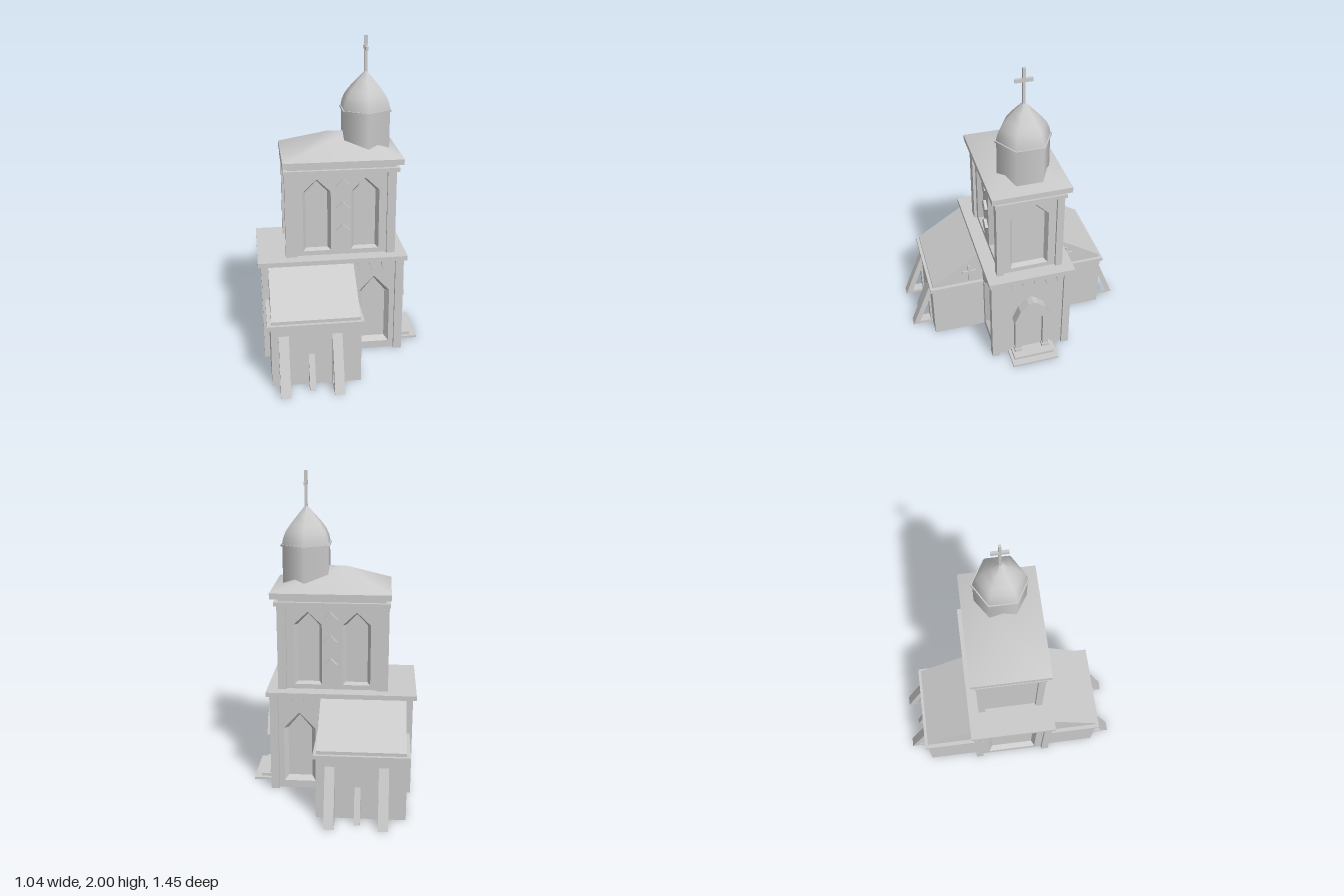
import * as THREE from 'three';

const mat = new THREE.MeshStandardMaterial({ color: 0xcccccc });

export function createModel() {
  const root = new THREE.Group();
  const add = (name, geo, parent = root) => {
    const m = new THREE.Mesh(geo, mat);
    m.name = name;
    parent.add(m);
    return m;
  };
  // Box given by its limits on each axis
  const box = (name, x0, x1, y0, y1, z0, z1, parent) =>
    add(name, new THREE.BoxGeometry(x1 - x0, y1 - y0, z1 - z0)
      .translate((x0 + x1) / 2, (y0 + y1) / 2, (z0 + z1) / 2), parent);
  const vecs = (pts) => pts.map(([x, y]) => new THREE.Vector2(x, y));
  // Profile in (z, y), swept from x0 to x1
  const sweepX = (name, pts, x0, x1, hole) => {
    const s = new THREE.Shape(vecs(pts));
    if (hole) s.holes.push(new THREE.Path(vecs(hole)));
    const g = new THREE.ExtrudeGeometry(s, { depth: x1 - x0, bevelEnabled: false });
    return add(name, g.rotateY(-Math.PI / 2).translate(x1, 0, 0));
  };

  // Pointed arch outline, counter-clockwise; t is half the width of a blunt tip
  const arch = (cx, w, y0, ys, y1, t) => [
    [cx - w, y0], [cx + w, y0], [cx + w, ys], [cx + t, y1], [cx - t, y1], [cx - w, ys],
  ];
  // Splayed lining and back of a niche
  const niche = (n, parent) => {
    const a = arch(n.u, n.w, n.y0, n.ys, n.y1, n.t);
    const b = arch(n.u, n.w - n.inset, n.y0 + (n.sill ?? n.inset), n.ys - n.inset * 0.4, n.y1 - n.inset, n.t * 0.8);
    const d = -0.035, pos = [];
    a.forEach((p, i) => {
      const j = (i + 1) % a.length;
      const A = [...p, 0], B = [...a[j], 0], C = [...b[j], d], D = [...b[i], d];
      pos.push(...A, ...B, ...C, ...A, ...C, ...D);
    });
    const g = new THREE.BufferGeometry();
    g.setAttribute('position', new THREE.Float32BufferAttribute(pos, 3));
    g.computeVertexNormals();
    add('nicheLining', g, parent);
    add('nicheBack', new THREE.ShapeGeometry(new THREE.Shape(vecs(b))).translate(0, 0, d), parent);
  };
  // Wall panel facing local +z, pierced by niches
  const wall = (name, x, z, turn, half, y0, y1, niches) => {
    const g = new THREE.Group();
    g.name = name;
    g.position.set(x, 0, z);
    g.rotation.y = turn;
    root.add(g);
    const s = new THREE.Shape(vecs([[-half, y0], [half, y0], [half, y1], [-half, y1]]));
    niches.forEach((n) => {
      s.holes.push(new THREE.Path(vecs(arch(n.u, n.w, n.y0, n.ys, n.y1, n.t))));
      niche(n, g);
    });
    add('wallPanel', new THREE.ExtrudeGeometry(s, { depth: 0.04, bevelEnabled: false }).translate(0, 0, -0.04), g);
    return g;
  };
  // Tapered brackets hung under the ledge
  const brackets = (g, centre, count) => {
    for (let i = 0; i < count; i++) {
      const u = centre + (i - (count - 1) / 2) * 0.075;
      const s = new THREE.Shape(vecs([[u - 0.015, 0.58], [u + 0.015, 0.58], [u + 0.024, 0.615], [u + 0.024, 0.64], [u - 0.024, 0.64], [u - 0.024, 0.615]]));
      add('bracket', new THREE.ExtrudeGeometry(s, { depth: 0.022, bevelEnabled: false }), g);
    }
  };
  const pillars = (name, xs, z0, z1, y0, y1) => {
    for (const [x0, x1] of xs) for (const s of [-1, 1])
      box(name, x0, x1, y0, y1, Math.min(s * z0, s * z1), Math.max(s * z0, s * z1));
  };
  const H = Math.PI / 2;

  // Lower storey
  box('lowerCore', -0.44, 0.335, 0, 0.64, -0.205, 0.205);
  pillars('lowerPillar', [[-0.5, -0.45], [0.34, 0.392]], 0.215, 0.265, 0, 0.64);
  for (const s of [1, -1]) {
    const u = s * 0.262;
    const g = wall('lowerSideWall', -0.055, s * 0.245, s > 0 ? 0 : Math.PI, 0.4, 0, 0.64,
      [{ u, w: 0.1, y0: 0.05, ys: 0.42, y1: 0.525, t: 0.002, inset: 0.025 }]);
    brackets(g, s * 0.255, 3);
  }
  const front = wall('entranceWall', 0.375, 0, H, 0.22, 0, 0.64, []);
  brackets(front, 0, 6);
  wall('rearWall', -0.48, 0, -H, 0.22, 0, 0.64,
    [{ u: 0, w: 0.165, y0: 0.05, ys: 0.48, y1: 0.58, t: 0.06, inset: 0.02 }]);
  box('lowerLedge', -0.522, 0.412, 0.64, 0.67, -0.28, 0.28);

  // Entrance: steps, jambs, pointed hood
  box('lowerStep', 0.37, 0.52, 0, 0.015, -0.155, 0.155);
  box('upperStep', 0.37, 0.475, 0.015, 0.035, -0.135, 0.135);
  for (const s of [-1, 1]) {
    box('doorJamb', 0.37, 0.415, 0.035, 0.335, s * 0.093 - 0.02, s * 0.093 + 0.02);
    box('jambFoot', 0.37, 0.425, 0.035, 0.055, s * 0.093 - 0.026, s * 0.093 + 0.026);
  }
  sweepX('doorLeaf', [[-0.075, 0.035], [0.075, 0.035], [0.075, 0.33], [0, 0.4], [-0.075, 0.33]], 0.37, 0.385);
  sweepX('doorHood', [[-0.125, 0.31], [-0.085, 0.41], [-0.03, 0.46], [0, 0.475], [0.03, 0.46], [0.085, 0.41], [0.125, 0.31],
    [0.1, 0.3], [0.075, 0.325], [0, 0.39], [-0.075, 0.325], [-0.1, 0.3]], 0.37, 0.433);

  // Side wings with lean-to roofs, buttresses and gable crosses
  for (const s of [1, -1]) {
    const flip = (pts) => pts.map(([z, y]) => [s * z, y]);
    const span = (name, x0, x1, y0, y1, a, b) => box(name, x0, x1, y0, y1, Math.min(s * a, s * b), Math.max(s * a, s * b));
    span('wingWall', -0.465, 0.075, 0, 0.39, 0.2, 0.592);
    span('wingEave', -0.485, 0.092, 0.39, 0.415, 0.2, 0.605);
    sweepX('wingRoof', flip([[0.2, 0.41], [0.585, 0.41], [0.585, 0.435], [0.27, 0.64], [0.2, 0.64]]), -0.46, 0.07);
    span('gableCrossPost', 0.06, 0.08, 0.425, 0.56, 0.33, 0.345);
    span('gableCrossBar', 0.06, 0.08, 0.5, 0.515, 0.292, 0.383);
    for (const [off, w, reach, top] of [[-0.19, 0.06, 0.727, 0.37], [-0.025, 0.036, 0.67, 0.24], [0.13, 0.06, 0.727, 0.37]]) {
      const x = -0.2 + s * off, r = reach - 0.58;
      sweepX('buttress', flip([[0.58, 0], [reach, 0], [0.58, top]]), x - w / 2, x + w / 2,
        flip([[0.605, 0.02], [0.58 + r * 0.68, 0.02], [0.605, top * 0.56]]));
    }
  }

  // Upper storey
  box('upperCore', -0.3, 0.285, 0.67, 1.21, -0.155, 0.155);
  pillars('upperPillar', [[-0.345, -0.275], [0.288, 0.342]], 0.168, 0.213, 0.67, 1.21);
  for (const s of [1, -1]) {
    const g = wall('upperSideWall', 0, s * 0.195, s > 0 ? 0 : Math.PI, 0.3, 0.67, 1.21,
      [-0.148, 0.153].map((x) => ({ u: s * x, w: 0.086, y0: 0.7, ys: 1.09, y1: 1.17, t: 0.002, inset: 0.018, sill: 0.01 })));
    for (const y of [0.835, 0.983, 1.13])
      add('diamond', new THREE.BoxGeometry(0.062, 0.062, 0.03).rotateZ(Math.PI / 4).translate(s * 0.012, y, 0.003), g);
  }
  wall('upperFrontWall', 0.325, 0, H, 0.18, 0.67, 1.21,
    [{ u: 0, w: 0.12, y0: 0.7, ys: 1.09, y1: 1.17, t: 0.04, inset: 0.016, sill: 0.01 }]);
  wall('upperRearWall', -0.325, 0, -H, 0.18, 0.67, 1.21, []);
  box('corniceLower', -0.352, 0.36, 1.21, 1.235, -0.222, 0.222);
  box('corniceNeck', -0.325, 0.335, 1.235, 1.26, -0.2, 0.2);
  box('corniceUpper', -0.355, 0.38, 1.26, 1.295, -0.245, 0.245);

  // Hipped roof, softly shaded
  const roof = new THREE.BufferGeometry();
  roof.setAttribute('position', new THREE.Float32BufferAttribute([
    -0.355, 1.295, 0.245, 0.38, 1.295, 0.245, 0.38, 1.295, -0.245, -0.355, 1.295, -0.245,
    -0.07, 1.42, 0, 0.08, 1.42, 0], 3));
  roof.setIndex([0, 1, 5, 0, 5, 4, 1, 2, 5, 2, 3, 4, 2, 4, 5, 3, 0, 4]);
  roof.computeVertexNormals();
  add('hippedRoof', roof);

  // Hexagonal drum, ring, dome and cross
  const cx = 0.175;
  add('drum', new THREE.CylinderGeometry(0.162, 0.162, 0.27, 6, 1, true).translate(cx, 1.42, 0));
  add('domeRing', new THREE.CylinderGeometry(0.172, 0.172, 0.012, 6).translate(cx, 1.556, 0));
  add('dome', new THREE.LatheGeometry(vecs([[0.164, 1.56], [0.156, 1.6], [0.138, 1.64], [0.108, 1.68], [0.058, 1.735], [0, 1.795]].map((p) => p)), 6)
    .translate(cx, 0, 0));
  box('topCrossPost', cx - 0.009, cx + 0.009, 1.77, 2, -0.008, 0.008);
  box('topCrossBar', cx - 0.008, cx + 0.008, 1.915, 1.937, -0.052, 0.052);

  return root;
}
